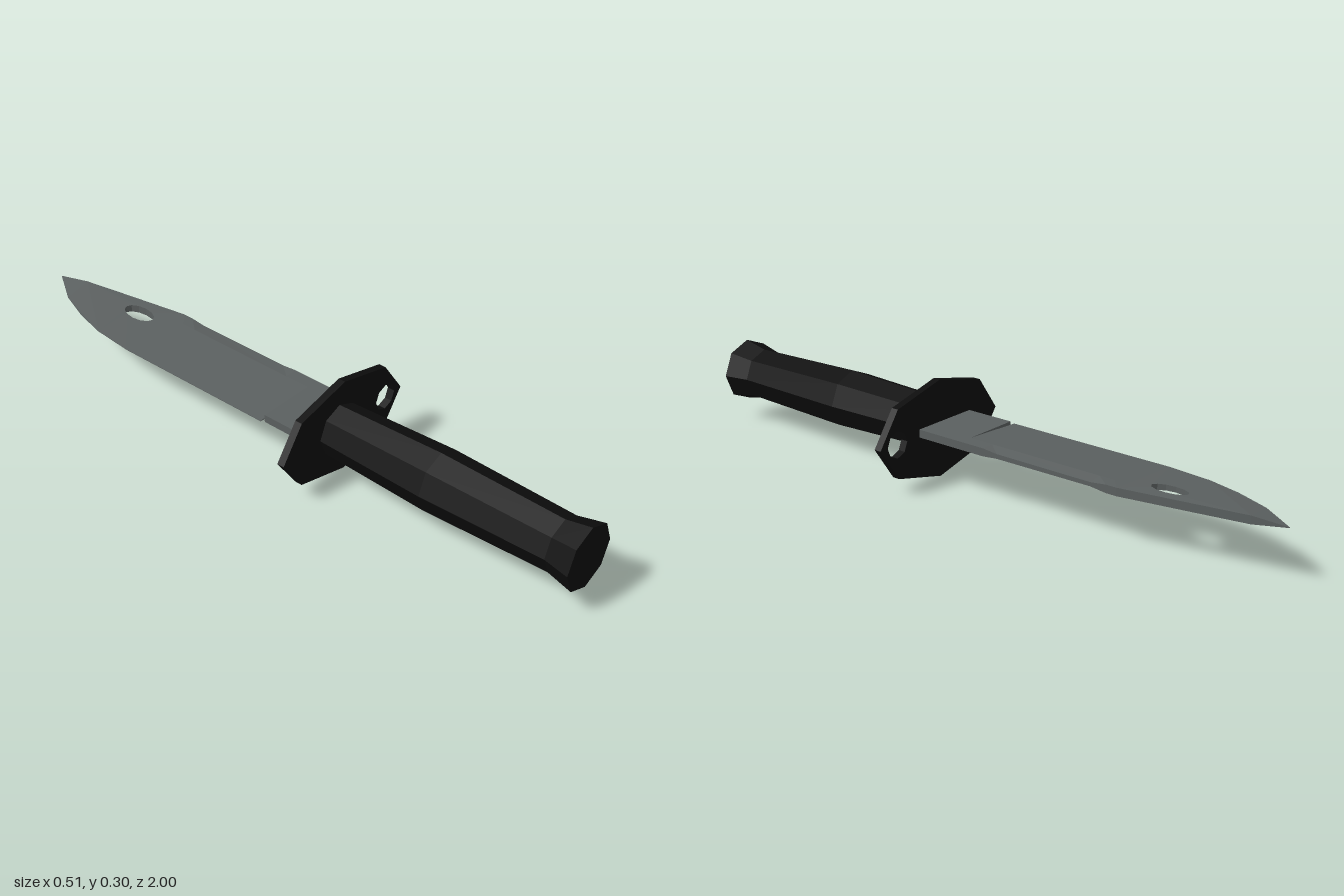
import * as THREE from 'three';

const BLADE_Y = 0.158, HALF = 0.012, THIN = 0.0008;

// Facet every face so the low-poly planes stay crisp
function faceted(geo) {
  const g = geo.index ? geo.toNonIndexed() : geo;
  g.computeVertexNormals();
  return g;
}

function ring(cx, cy, rx, ry, n) {
  const pts = [];
  for (let i = 0; i < n; i++) {
    const a = (i / n) * Math.PI * 2;
    pts.push(new THREE.Vector2(cx + rx * Math.cos(a), cy + ry * Math.sin(a)));
  }
  return pts;
}

// x on a polyline of [x, z] points at a given z (z decreasing)
function xAt(line, z) {
  for (let i = 1; i < line.length; i++) {
    const [x0, z0] = line[i - 1], [x1, z1] = line[i];
    if (z >= z1 - 1e-6) return x0 + (x1 - x0) * (z0 - z) / (z0 - z1);
  }
  return line[line.length - 1][0];
}

// Rear blade: wedge cross-sections with a shallow scoop along the spine
function rearBlade() {
  const sections = [[0, HALF], [-0.08, HALF], [-0.13, 0.007], [-0.45, 0.006], [-0.5, HALF]];
  const pos = [], idx = [], n = 6;
  for (const [z, s] of sections) {
    const loop = [[-0.148, THIN], [0.05, HALF], [0.091, s], [0.091, -s], [0.05, -HALF], [-0.148, -THIN]];
    for (const [x, h] of loop) pos.push(x, BLADE_Y + h, z);
  }
  for (let k = 0; k < sections.length - 1; k++) {
    for (let i = 0; i < n; i++) {
      const a = k * n + i, b = k * n + (i + 1) % n;
      idx.push(a, b, b + n, a, b + n, a + n);
    }
  }
  const last = (sections.length - 1) * n;
  for (let i = 1; i < n - 1; i++) {
    idx.push(0, i + 1, i, last, last + i, last + i + 1);
  }
  const g = new THREE.BufferGeometry();
  g.setAttribute('position', new THREE.Float32BufferAttribute(pos, 3));
  g.setIndex(idx);
  return faceted(g);
}

// Front blade: pierced clip point, thinned towards the cutting edge
function frontBlade() {
  const edge = [[-0.148, -0.5], [-0.148, -0.54], [-0.135, -0.677], [-0.108, -0.783], [-0.066, -0.89], [0.007, -1]];
  const spine = [[0.091, -0.5], [0.091, -0.534], [0.055, -0.74], [0.026, -0.9], [0.007, -1]];
  const outline = [[0.05, -0.5], ...spine, ...edge.slice(0, -1).reverse()];
  const shape = new THREE.Shape(outline.map(([x, z]) => new THREE.Vector2(x, -z)));
  shape.holes.push(new THREE.Path(ring(0.007, 0.645, 0.029, 0.057, 12)));
  const g = new THREE.ExtrudeGeometry(shape, { depth: 1, bevelEnabled: false });
  g.rotateX(-Math.PI / 2);
  const p = g.attributes.position;
  for (let i = 0; i < p.count; i++) {
    const x = p.getX(i), z = p.getZ(i);
    const e = xAt(edge, z), w = xAt(spine, z) - e;
    const t = w > 0.002 ? (x - e) / w : 0;
    const h = Math.max(THIN, HALF * Math.min(1, t * 1.21));
    p.setY(i, BLADE_Y + (p.getY(i) > 0.5 ? h : -h));
  }
  return faceted(g);
}

export function createModel() {
  const model = new THREE.Group();
  const black = new THREE.MeshStandardMaterial({ color: 0x0d0d0d });
  black.name = 'matte black';
  const steel = new THREE.MeshStandardMaterial({ color: 0x5b6060 });
  steel.name = 'grey steel';

  const add = (name, geo, mat) => {
    const m = new THREE.Mesh(geo, mat);
    m.name = name;
    model.add(m);
    return m;
  };

  // Eight-sided grip swelling in the middle and flaring at the pommel
  const profile = [[0, 0.17], [0.08, 0.17], [0.092, 0.53], [0.081, 0.92], [0.098, 1], [0, 1]];
  const grip = new THREE.LatheGeometry(profile.map(([r, y]) => new THREE.Vector2(r, y)), 8);
  grip.rotateX(Math.PI / 2);
  grip.translate(-0.021, 0.151, 0);
  add('handle', faceted(grip), black);

  // Flat guard plate with a ring hole on one side
  const plate = new THREE.Shape([
    [0.253, 0.149], [0.179, 0.254], [0, 0.298], [-0.179, 0.254],
    [-0.253, 0.149], [-0.179, 0.044], [0, 0], [0.179, 0.044],
  ].map(([x, y]) => new THREE.Vector2(x, y)));
  plate.holes.push(new THREE.Path(ring(0.183, 0.149, 0.041, 0.041, 8)));
  const guard = new THREE.ExtrudeGeometry(plate, { depth: 0.023, bevelEnabled: false });
  guard.translate(0, 0, 0.157);
  add('guard', guard, black);

  // Unsharpened block between guard and cutting edge
  const base = new THREE.BoxGeometry(0.222, HALF * 2, 0.165);
  base.translate(-0.02, BLADE_Y, 0.0825);
  add('bladeBase', base, steel);

  add('bladeRear', rearBlade(), steel);
  add('bladePoint', frontBlade(), steel);
  return model;
}
